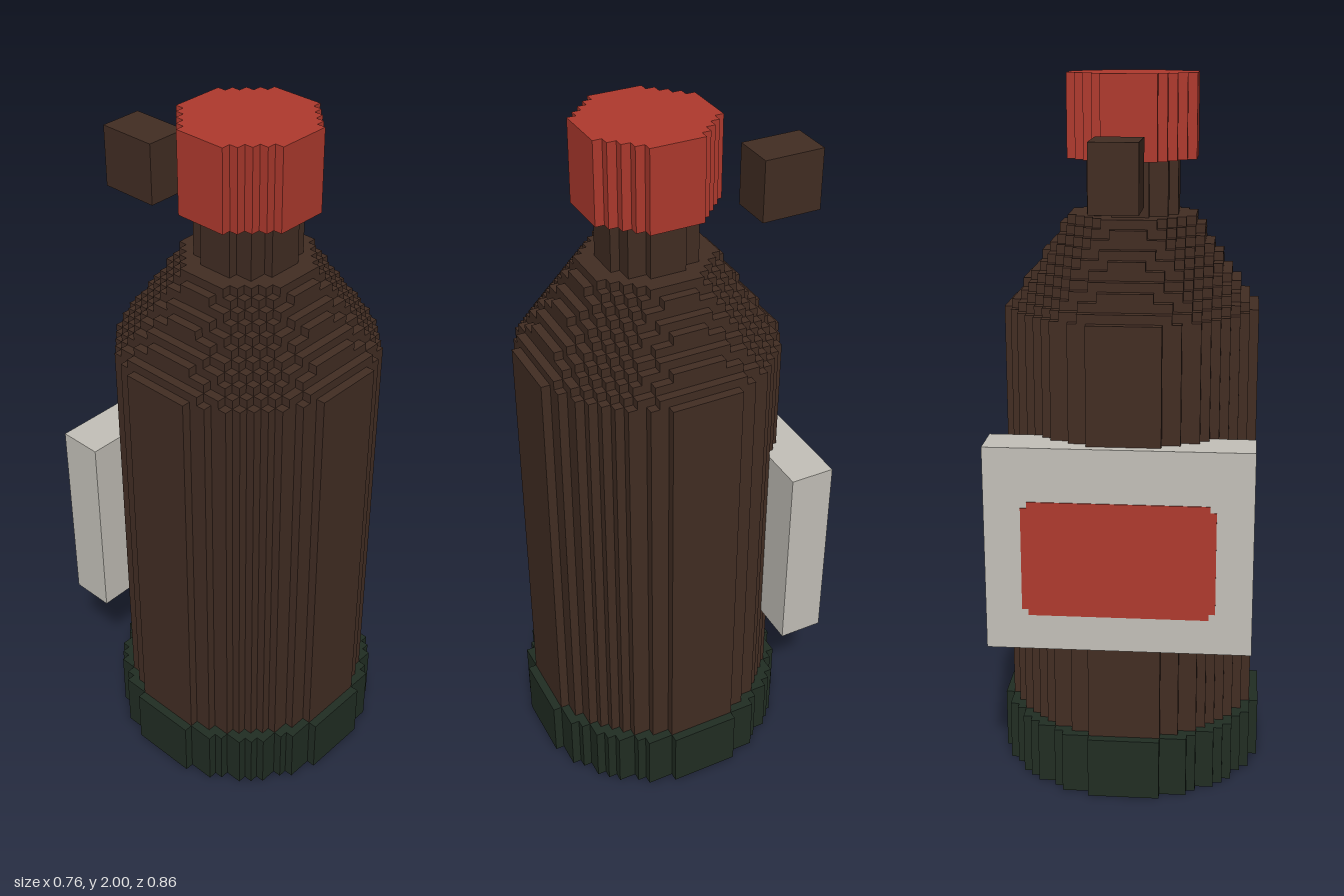
import * as THREE from 'three';

const U = 2 / 79;       // size of one voxel
const AXIS_Z = 2;       // bottle axis, in voxels

const mat = (name, color) => {
  const m = new THREE.MeshStandardMaterial({ color });
  m.name = name;
  return m;
};

// Stepped outline of a voxel disc with the given radius (in voxels)
function discShape(r) {
  const halfWidth = (j) => Math.floor(Math.sqrt(Math.max(0, r * r - (j + 0.5) ** 2)) + 0.5);
  const right = [];
  const n = Math.ceil(r);
  for (let j = -n; j < n; j++) {
    const w = halfWidth(j);
    if (w < 1) continue;
    const last = right[right.length - 1];
    if (last && last[0] === w) last[1] = j + 1;
    else right.push([w, j], [w, j + 1]);
  }
  const left = right.map(([x, y]) => [-x, y]).reverse();
  return new THREE.Shape([...right, ...left].map(([x, y]) => new THREE.Vector2(x * U, y * U)));
}

export function createModel() {
  const group = new THREE.Group();
  group.name = 'bottle';
  const brown = mat('brown glass', 0x422d23);
  const green = mat('dark green', 0x212d23);
  const red = mat('red', 0xb03a2e);
  const grey = mat('pale grey', 0xc4c1b9);

  const add = (name, geometry, material, parent = group) => {
    const mesh = new THREE.Mesh(geometry, material);
    mesh.name = name;
    parent.add(mesh);
    return mesh;
  };

  // Voxel disc standing between two heights
  const disc = (name, r, y0, y1, material, parent) => {
    const g = new THREE.ExtrudeGeometry(discShape(r), { depth: (y1 - y0) * U, bevelEnabled: false });
    g.rotateX(-Math.PI / 2);
    g.translate(0, y0 * U, AXIS_Z * U);
    return add(name, g, material, parent);
  };

  // Box given by its voxel limits
  const block = (name, [x0, x1], [y0, y1], [z0, z1], material) => {
    const g = new THREE.BoxGeometry((x1 - x0) * U, (y1 - y0) * U, (z1 - z0) * U);
    g.translate(((x0 + x1) / 2) * U, ((y0 + y1) / 2) * U, ((z0 + z1) / 2) * U);
    return add(name, g, material);
  };

  // Bottle from the foot upwards
  disc('base', 15, 0, 7, green);
  disc('body', 14, 7, 54, brown);
  const shoulder = new THREE.Group();
  shoulder.name = 'shoulder';
  group.add(shoulder);
  [13.3, 12.5, 11.9, 11.2, 10.5, 9.8, 9.1, 8.4, 7.7, 7].forEach((r, i) =>
    disc('shoulderStep' + (i + 1), r, 54 + i, 55 + i, brown, shoulder));
  disc('neck', 5, 64, 70, brown);
  disc('cap', 7, 70, 79, red);

  // Loose block behind the cap
  block('rearBlock', [-2, 3], [66, 73], [-17, -10], brown);

  // Label plate on the back with a red panel, its corners notched
  block('labelPlate', [-14, 15], [18, 41], [-13, -8], grey);
  const [x0, x1, y0, y1, c] = [-10, 11, 22, 35, 0.7];
  const outline = [
    [x0 + c, y0], [x1 - c, y0], [x1 - c, y0 + c], [x1, y0 + c], [x1, y1 - c], [x1 - c, y1 - c],
    [x1 - c, y1], [x0 + c, y1], [x0 + c, y1 - c], [x0, y1 - c], [x0, y0 + c], [x0 + c, y0 + c],
  ].map(([x, y]) => new THREE.Vector2(x * U, y * U));
  const panel = new THREE.ExtrudeGeometry(new THREE.Shape(outline), { depth: 0.004, bevelEnabled: false });
  panel.translate(0, 0, -13 * U - 0.003);
  add('labelPanel', panel, red);

  return group;
}
